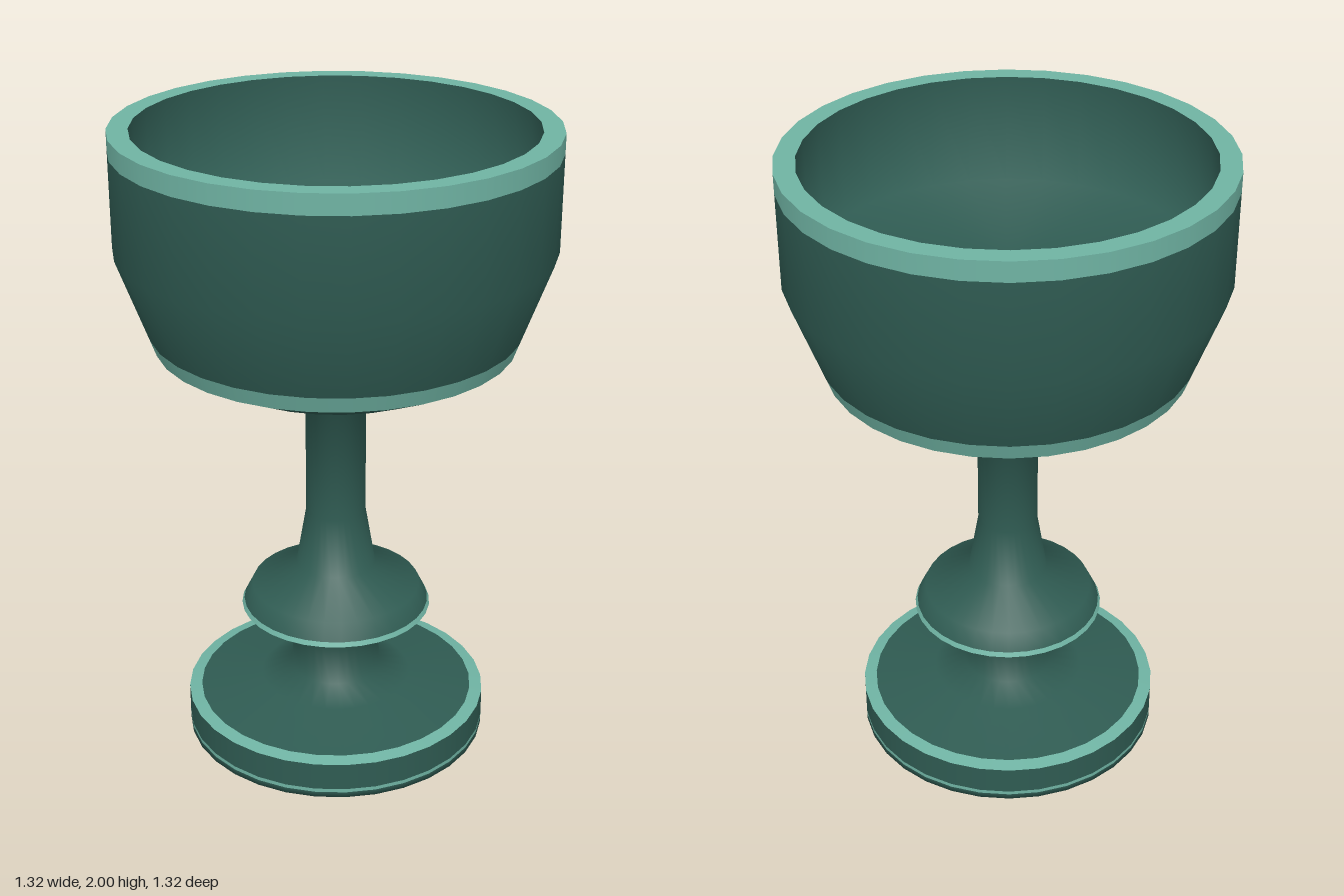
import * as THREE from 'three';

const dark = new THREE.MeshStandardMaterial({ color: 0x2f5b52 });
const light = new THREE.MeshStandardMaterial({ color: 0x6fb3a3 });

// One turned section; the profile [radius, height] runs up the outside, then down the inside
function turned(name, material, profile) {
  const points = profile.map(([r, y]) => new THREE.Vector2(r, y));
  const mesh = new THREE.Mesh(new THREE.LatheGeometry(points, 32), material);
  mesh.name = name;
  return mesh;
}

export function createModel() {
  const goblet = new THREE.Group();
  goblet.name = 'goblet';

  // Foot: disc with two pale trim lines
  const foot = new THREE.Group();
  foot.name = 'foot';
  foot.add(
    turned('footUnderside', dark, [[0, 0], [0.483, 0], [0.483, 0.018]]),
    turned('footLowerTrim', light, [[0.483, 0.018], [0.483, 0.03]]),
    turned('footSide', dark, [[0.483, 0.03], [0.483, 0.12]]),
    turned('footUpperTrim', light, [[0.483, 0.12], [0.443, 0.128]]),
  );

  // Stem: neck and flared collar with pale trim
  const stem = new THREE.Group();
  stem.name = 'stem';
  stem.add(
    turned('neck', dark, [[0.443, 0.128], [0.243, 0.165], [0.144, 0.195], [0.138, 0.335], [0.2, 0.372]]),
    turned('collarLowerTrim', light, [[0.2, 0.372], [0.25, 0.402]]),
    turned('collarUnderside', dark, [[0.25, 0.402], [0.303, 0.432]]),
    turned('collarTrim', light, [[0.303, 0.432], [0.296, 0.446]]),
    // shaft flows into the underside of the cup
    turned('shaftAndCupUnderside', dark, [
      [0.296, 0.446], [0.268, 0.502], [0.126, 0.577], [0.094, 0.765],
      [0.094, 1.19], [0.397, 1.265], [0.548, 1.34],
    ]),
  );

  // Cup: hollow with a flat floor, a pale lower band and a pale rim
  const cup = new THREE.Group();
  cup.name = 'cup';
  cup.add(
    turned('cupLowerBand', light, [[0.548, 1.34], [0.566, 1.39]]),
    turned('cupWall', dark, [[0.566, 1.39], [0.659, 1.645], [0.659, 1.94]]),
    turned('rimSide', light, [[0.659, 1.94], [0.659, 2]]),
    turned('rimTop', light, [[0.659, 2], [0.596, 2]]),
    turned('cupInside', dark, [[0.596, 2], [0.596, 1.66], [0, 1.66]]),
  );

  goblet.add(foot, stem, cup);
  return goblet;
}
